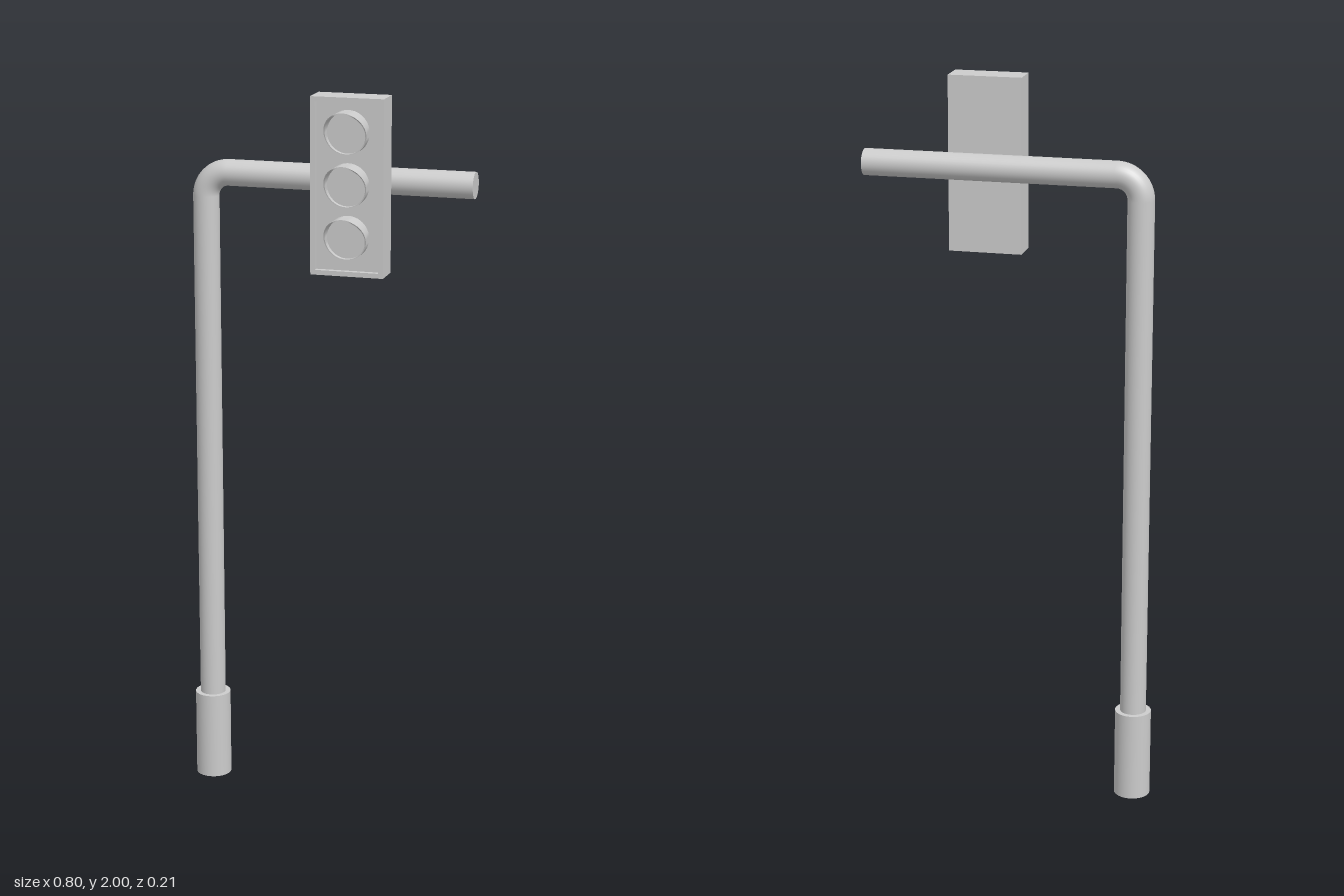
import * as THREE from 'three';
import { toCreasedNormals } from 'three/addons/utils/BufferGeometryUtils.js';

const POLE_X = -0.35, POLE_Z = -0.058, PIPE_R = 0.036, SIDES = 32;
const ARM_Y = 1.765, ARM_END = 0.4, BEND_R = 0.065, BASE_H = 0.25;
const HEAD_X = 0.08, HEAD_W = 0.2, HEAD_H = 0.475, HEAD_Y = 2 - HEAD_H / 2;
const BACK_Z = -0.02, FACE_Z = 0.045, FRONT_Z = 0.06, RIM = 0.013;
const LAMP_R = 0.058, LAMP_GAP = 0.14;

const material = new THREE.MeshStandardMaterial({ color: 0xcccccc });

function add(parent, name, geometry, x = 0, y = 0, z = 0) {
  const mesh = new THREE.Mesh(geometry, material);
  mesh.name = name;
  mesh.position.set(x, y, z);
  parent.add(mesh);
  return mesh;
}

// Thin tube whose front edge sweeps back from a long top to a short bottom
function visorGeometry() {
  const inner = LAMP_R - 0.003;
  const profile = [[LAMP_R, 0], [LAMP_R, 1], [inner, 1], [inner, 0]].map(p => new THREE.Vector2(...p));
  const g = new THREE.LatheGeometry(profile, 40).rotateX(Math.PI / 2);
  const pos = g.attributes.position;
  for (let i = 0; i < pos.count; i++) {
    if (pos.getZ(i) < 0.5) {
      pos.setZ(i, FACE_Z - 0.002);
    } else {
      const t = (pos.getY(i) / LAMP_R + 1) / 2;
      pos.setZ(i, Math.min(0.105, 0.068 + 0.042 * t * t));
    }
  }
  return toCreasedNormals(g, 0.7);
}

function createPost() {
  const post = new THREE.Group();
  post.name = 'post';
  add(post, 'base', new THREE.CylinderGeometry(0.05, 0.05, BASE_H, SIDES), POLE_X, BASE_H / 2, POLE_Z);

  // Upright, quarter bend and horizontal arm
  const top = ARM_Y - BEND_R, armStart = POLE_X + BEND_R;
  const upright = new THREE.CylinderGeometry(PIPE_R, PIPE_R, top - BASE_H, SIDES, 1, true);
  add(post, 'upright', upright, POLE_X, (top + BASE_H) / 2, POLE_Z);
  const bend = new THREE.TorusGeometry(BEND_R, PIPE_R, SIDES, 16, Math.PI / 2).rotateZ(Math.PI / 2);
  add(post, 'bend', bend, armStart, top, POLE_Z);
  const arm = new THREE.CylinderGeometry(PIPE_R, PIPE_R, ARM_END - armStart, SIDES).rotateZ(Math.PI / 2);
  add(post, 'arm', arm, (ARM_END + armStart) / 2, ARM_Y, POLE_Z);
  return post;
}

function createSignalHead() {
  const head = new THREE.Group();
  head.name = 'signalHead';
  head.position.set(HEAD_X, HEAD_Y, 0);

  // Housing with a raised rim around the recessed face
  const depth = FACE_Z - BACK_Z;
  add(head, 'housing', new THREE.BoxGeometry(HEAD_W, HEAD_H, depth), 0, 0, BACK_Z + depth / 2);
  const rect = (shape, w, h) => shape.moveTo(-w, -h).lineTo(w, -h).lineTo(w, h).lineTo(-w, h).closePath();
  const outline = rect(new THREE.Shape(), HEAD_W / 2, HEAD_H / 2);
  outline.holes.push(rect(new THREE.Path(), HEAD_W / 2 - RIM, HEAD_H / 2 - RIM));
  const rim = new THREE.ExtrudeGeometry(outline, { depth: FRONT_Z - FACE_Z, bevelEnabled: false });
  add(head, 'rim', rim, 0, 0, FACE_Z);

  // Three lamps, each a lens under a visor
  const visor = visorGeometry();
  const lens = new THREE.CylinderGeometry(LAMP_R - 0.003, LAMP_R - 0.003, 0.01, 40).rotateX(Math.PI / 2);
  ['top', 'middle', 'bottom'].forEach((place, i) => {
    const y = ARM_Y + 0.003 + (1 - i) * LAMP_GAP - HEAD_Y;
    add(head, place + 'Visor', visor, 0, y, 0);
    add(head, place + 'Lens', lens, 0, y, FACE_Z + 0.005);
  });
  return head;
}

export function createModel() {
  const model = new THREE.Group();
  model.name = 'trafficLight';
  model.add(createPost(), createSignalHead());
  return model;
}
